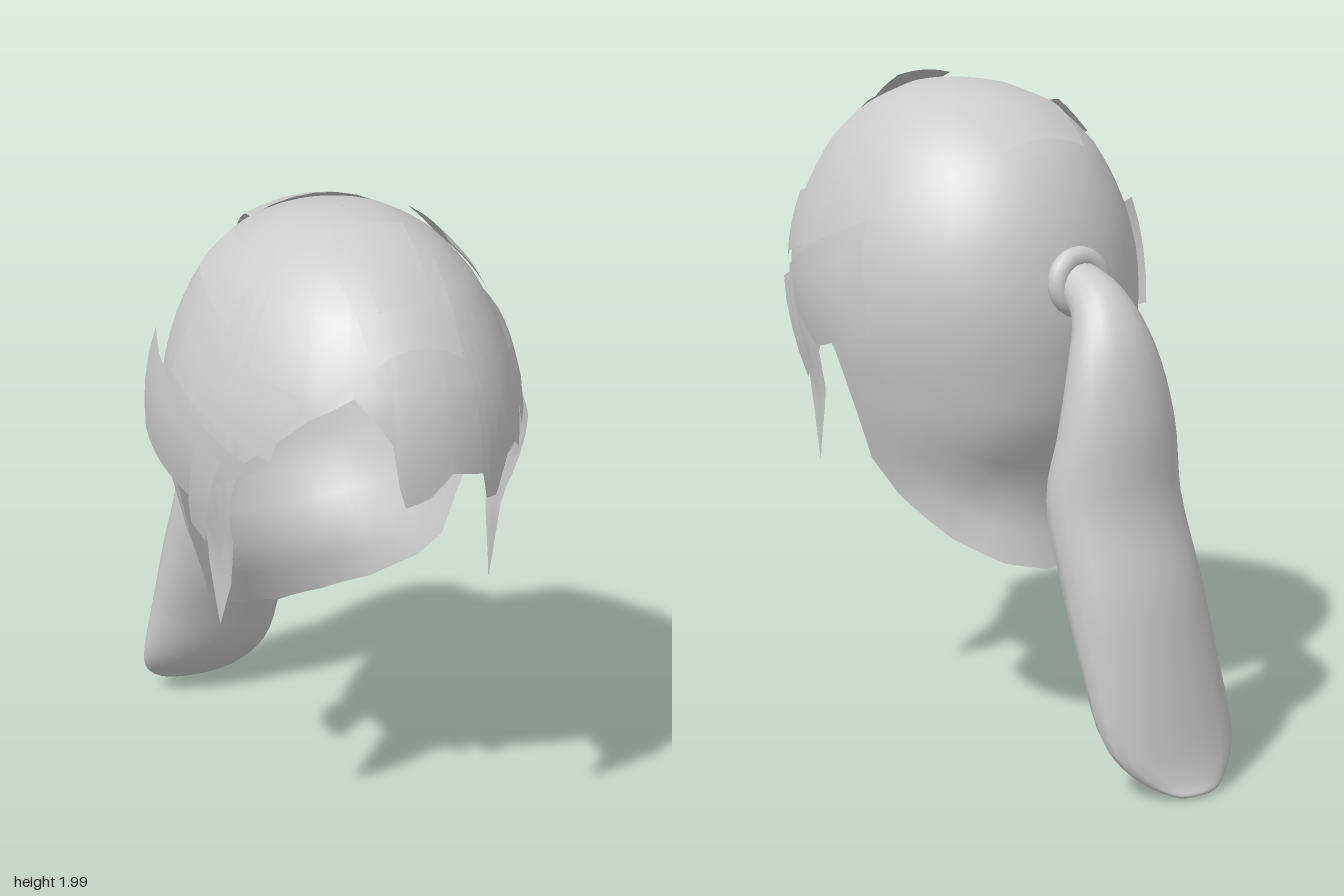
import * as THREE from 'three';
import { mergeVertices } from 'three/addons/utils/BufferGeometryUtils.js';

const material = new THREE.MeshStandardMaterial({ color: 0xcccccc, side: THREE.DoubleSide });
const CZ = 0.22; // z of the widest line of the scalp

// Scalp profile: y, front z, back z, half width
const PROFILE = [
  [1.99, 0.25, 0.25, 0], [1.975, 0.42, 0.08, 0.13], [1.95, 0.5, 0, 0.19], [1.9, 0.61, -0.1, 0.275],
  [1.8, 0.73, -0.22, 0.37], [1.7, 0.8, -0.285, 0.425], [1.6, 0.85, -0.33, 0.465],
  [1.5, 0.875, -0.355, 0.49], [1.4, 0.885, -0.37, 0.5], [1.3, 0.885, -0.37, 0.498],
  [1.2, 0.87, -0.36, 0.485], [1.0, 0.84, -0.325, 0.435], [0.9, 0.82, -0.26, 0.405],
  [0.8, 0.8, -0.195, 0.38], [0.65, 0.78, -0.21, 0.37], [0.54, 0.77, -0.24, 0.4],
];

// Hem height by azimuth in degrees (0 = front, positive toward +x)
const SIDE_HEM = [
  [64, 1.25], [66, 1.1], [68, 0.97], [73, 0.82], [79, 1.0], [82, 1.18], [86, 1.23], [90, 1.24],
  [93, 1.2], [97.5, 1.0], [100, 0.87], [113, 0.77], [137, 0.65], [160, 0.58], [180, 0.55],
];
const FRINGE_HEM = [
  [-59, 1.38], [-38, 1.55], [-24, 1.62], [-17, 1.56], [-12, 1.5], [-10, 1.38], [-8, 1.32], [0, 1.34],
  [8, 1.4], [21, 1.37], [23.5, 1.29], [29, 1.28], [36, 1.38], [43, 1.39], [54, 1.33],
];
const HEM = [...SIDE_HEM.map(([a, y]) => [-a, y]).reverse(), ...FRINGE_HEM, ...SIDE_HEM];

// Piecewise lookup of column k in a table sorted by key
function lookup(table, key, x, k) {
  let i = 1;
  while (i < table.length - 1 && key(table[i]) < x) i++;
  const a = table[i - 1], b = table[i];
  const t = THREE.MathUtils.clamp((x - key(a)) / (key(b) - key(a)), 0, 1);
  return a[k] + (b[k] - a[k]) * t;
}
const profile = (y, k) => lookup(PROFILE, (r) => Math.sqrt(Math.max(0, 1.99 - r[0])), Math.sqrt(Math.max(0, 1.99 - y)), k);
const depth = (y, front) => (front ? profile(y, 1) - CZ : CZ - profile(y, 2));

// Smooth surface from fn(u, v)
function surface(name, fn, us, nv) {
  const pos = [], idx = [], n = nv + 1;
  us.forEach((u) => { for (let j = 0; j <= nv; j++) pos.push(...fn(u, j / nv)); });
  for (let i = 0; i < us.length - 1; i++) for (let j = 0; j < nv; j++) {
    const p = i * n + j;
    idx.push(p, p + 1, p + n, p + 1, p + n + 1, p + n);
  }
  let g = new THREE.BufferGeometry();
  g.setAttribute('position', new THREE.Float32BufferAttribute(pos, 3));
  g.setIndex(idx);
  g = mergeVertices(g, 1e-4);
  g.computeVertexNormals();
  const mesh = new THREE.Mesh(g, material);
  mesh.name = name;
  return mesh;
}
const steps = (n) => Array.from({ length: n + 1 }, (_, i) => i / n);

// Scalp shell, open at the face and cut along the hem
function makeScalp() {
  const angles = HEM.map((h) => h[0]);
  for (let a = -175; a < 180; a += 5) if (!angles.includes(a)) angles.push(a);
  angles.sort((a, b) => a - b);
  return surface('scalpHair', (deg, t) => {
    const hem = lookup(HEM, (h) => h[0], deg, 1);
    const y = 1.99 - (1.99 - hem) * t * t;
    const a = THREE.MathUtils.degToRad(deg), c = Math.cos(a);
    const front = Math.abs(deg) < 90;
    let w = profile(y, 3);
    if (front && y < 1.2) w = Math.max(w, 0.45);
    const z0 = CZ + (0.25 - CZ) * Math.max(0, 1 - t * 4);
    return [w * Math.sin(a), y, z0 + c * depth(y, front)];
  }, angles, 26);
}

// Push a scalp point outward
function lifted(x, y, z, lift) {
  const d = new THREE.Vector3(x, y - 1.3, z - CZ).normalize().multiplyScalar(lift);
  return [x + d.x, y + d.y, z + d.z];
}
const bilinear = (q, u, v, k) =>
  (q[0][k] * (1 - u) + q[1][k] * u) * (1 - v) + (q[3][k] * (1 - u) + q[2][k] * u) * v;

// Lock lying on a side: corners are [z, y], first edge runs front to back
function sideLock(name, q, side, lift0, lift1) {
  return surface(name, (u, v) => {
    const z = bilinear(q, u, v, 0), y = bilinear(q, u, v, 1);
    const r = (z - CZ) / depth(y, z > CZ);
    const x = side * profile(y, 3) * Math.sqrt(Math.max(0, 1 - r * r));
    return lifted(x, y, z, lift0 + (lift1 - lift0) * u);
  }, steps(6), 4);
}

// Lock lying on the crown: corners are [x, z], height found on the scalp
function crownLock(name, q, lift0, lift1) {
  return surface(name, (u, v) => {
    const x = bilinear(q, u, v, 0), z = bilinear(q, u, v, 1);
    let lo = 1.3, hi = 1.99;
    for (let i = 0; i < 25; i++) {
      const y = (lo + hi) / 2;
      const inside = (x / (profile(y, 3) + 1e-6)) ** 2 + ((z - CZ) / depth(y, z > CZ)) ** 2 < 1;
      if (inside) lo = y; else hi = y;
    }
    return lifted(x, lo, z, lift0 + (lift1 - lift0) * v);
  }, steps(6), 6);
}

// Ponytail: elliptical rings between an inner and an outer guide curve
function makePonytail() {
  // inner z, inner y, outer z, outer y, right x, left x
  const rings = [
    [-0.38, 1.38, -0.38, 1.52, -0.07, 0.07], [-0.44, 1.33, -0.54, 1.46, -0.09, 0.09],
    [-0.455, 1.18, -0.65, 1.32, -0.14, 0.14], [-0.44, 1.02, -0.705, 1.1, -0.19, 0.18],
    [-0.41, 0.86, -0.72, 0.84, -0.22, 0.21], [-0.48, 0.6, -0.785, 0.6, -0.25, 0.2],
    [-0.57, 0.38, -0.82, 0.36, -0.275, 0.18], [-0.65, 0.19, -0.85, 0.12, -0.295, 0.14],
    [-0.74, 0.07, -0.87, 0.05, -0.24, 0.06], [-0.85, 0.01, -0.885, 0.02, -0.15, -0.03],
    [-0.87, 0.01, -0.87, 0.01, -0.09, -0.09],
  ];
  const inner = new THREE.CatmullRomCurve3(rings.map((r) => new THREE.Vector3(r[4], r[1], r[0])));
  const outer = new THREE.CatmullRomCurve3(rings.map((r) => new THREE.Vector3(r[5], r[3], r[2])));
  return surface('ponytail', (u, v) => {
    const p = inner.getPoint(v), q = outer.getPoint(v), a = u * Math.PI * 2;
    const c = Math.cos(a) / 2, s = Math.sin(a) / 2;
    return [(p.x + q.x) / 2 + s * (q.x - p.x), (p.y + q.y) / 2 - c * (q.y - p.y), (p.z + q.z) / 2 - c * (q.z - p.z)];
  }, steps(20), 40);
}

export function createModel() {
  const model = new THREE.Group();
  model.name = 'ponytailHair';
  model.add(makeScalp(), makePonytail());

  // Hair tie
  const tie = new THREE.Mesh(new THREE.TorusGeometry(0.072, 0.033, 12, 28), material);
  tie.name = 'hairTie';
  tie.position.set(0, 1.45, -0.39);
  tie.rotation.x = 0.08;
  model.add(tie);

  // Layered locks on both sides
  for (const side of [1, -1]) {
    const tag = side > 0 ? 'left' : 'right';
    model.add(
      sideLock(tag + 'TempleLock', [[0.62, 1.38], [0.03, 1.59], [-0.02, 1.29], [0.3, 1.2]], side, 0.005, 0.05),
      sideLock(tag + 'UpperLock', [[0.69, 1.61], [0.23, 1.69], [0.2, 1.54], [0.66, 1.42]], side, 0.012, 0.02),
      sideLock(tag + 'CrownSideLock', [[0.38, 1.88], [0.12, 1.9], [0.11, 1.8], [0.4, 1.72]], side, 0.01, 0.025),
      sideLock(tag + 'EarLock', [[0.51, 1.38], [0.41, 1.41], [0.32, 1.14], [0.38, 1.1]], side, 0.03, 0.03),
    );
  }

  // Layered locks on the crown
  model.add(
    crownLock('frontCrownLock', [[-0.08, 0.74], [0.08, 0.74], [0.09, 0.45], [-0.09, 0.45]], 0.01, 0.035),
    crownLock('rearCrownLock', [[-0.2, 0.06], [0.2, 0.06], [0.14, -0.19], [-0.14, -0.19]], 0.006, 0.025),
    crownLock('fringeLock', [[-0.13, 0.78], [0.13, 0.78], [0.15, 0.55], [-0.15, 0.55]], 0.015, 0.008),
  );
  return model;
}
